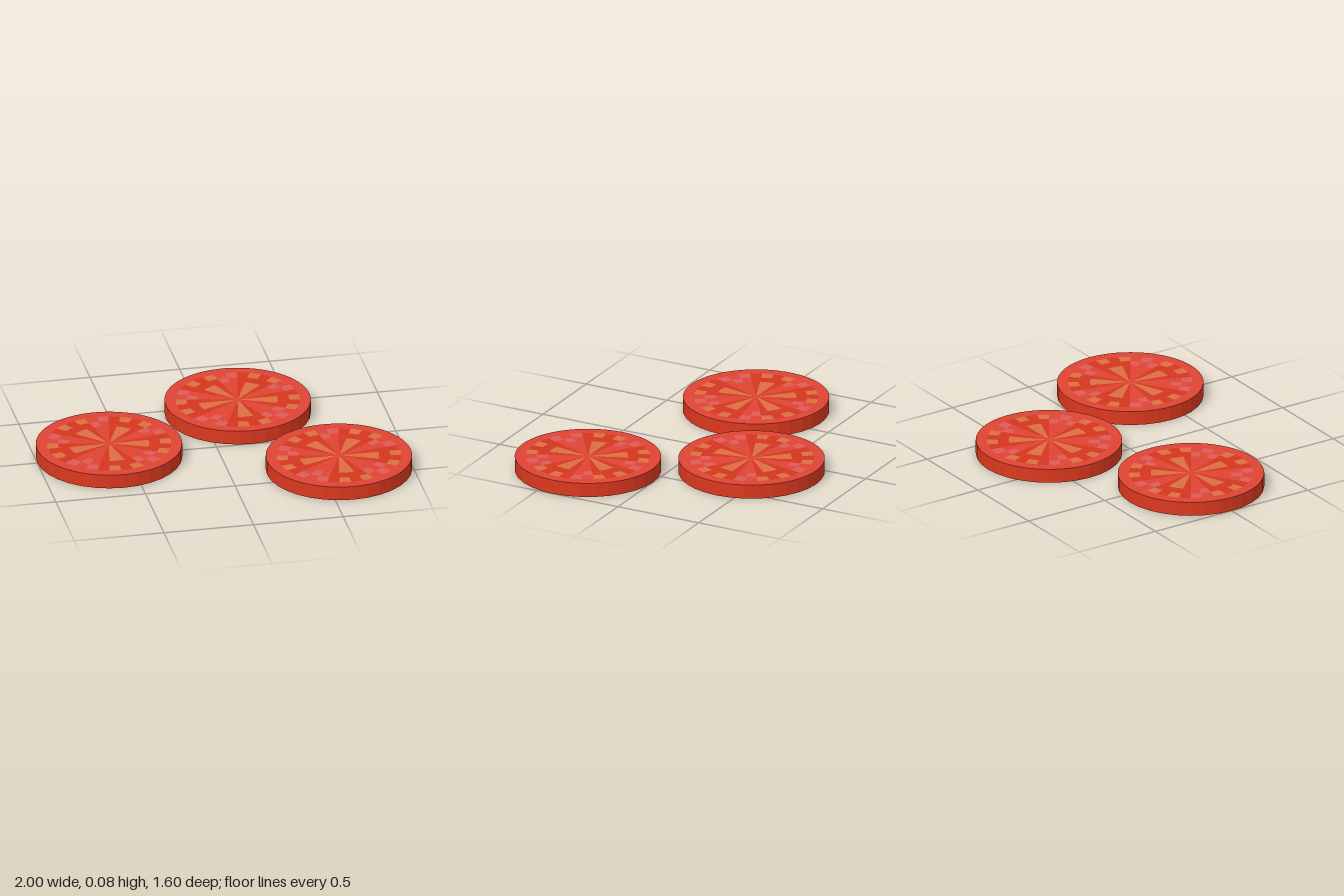
import * as THREE from 'three';
import { mergeGeometries } from 'three/addons/utils/BufferGeometryUtils.js';

const SEGMENTS = 32, RADIUS = 0.4, HEIGHT = 0.08;
const STEP = (Math.PI * 2) / SEGMENTS;
const BANDS = [0, 0.025, 0.22, 0.28, 0.34, RADIUS];
// first segment of each four-segment seed chamber
const CHAMBERS = [3, 9, 15, 22, 29];

const mat = (color) => new THREE.MeshStandardMaterial({ color, flatShading: true });
const materials = {
  skin: mat(0xdc381e),
  flesh: mat(0xde4433),
  gel: mat(0xd4361e),
  seed: mat(0xdc6d43),
  membrane: mat(0xde5a58),
};

// Which part of the cut face a cell (segment, band) belongs to
function cellPart(k, band) {
  if (band === 0 || band === 4) return 'flesh';
  const start = CHAMBERS.find((c) => (k - c + SEGMENTS) % SEGMENTS < 4);
  if (start === undefined) {
    // staggered pale patches on the walls between chambers
    const pale = (band === 3 && k % 2 === 1) || (band === 2 && k % 2 === 0);
    return pale ? 'membrane' : 'flesh';
  }
  const i = (k - start + SEGMENTS) % SEGMENTS;
  if (band === 1 && (i === 1 || i === 2)) return 'seed';
  if (band === 3 && k % 2 === 1) return 'seed';
  return 'gel';
}

// Cut face: one merged geometry per colour
function faceGeometries() {
  const parts = { flesh: [], gel: [], seed: [], membrane: [] };
  for (let k = 0; k < SEGMENTS; k++) {
    for (let b = 0; b < BANDS.length - 1; b++) {
      const g = b === 0
        ? new THREE.CircleGeometry(BANDS[1], 1, k * STEP, STEP)
        : new THREE.RingGeometry(BANDS[b], BANDS[b + 1], 1, 1, k * STEP, STEP);
      parts[cellPart(k, b)].push(g);
    }
  }
  return Object.entries(parts).map(([name, list]) => {
    const g = mergeGeometries(list);
    g.rotateX(-Math.PI / 2).translate(0, HEIGHT, 0);
    return [name, g];
  });
}

export function createModel() {
  const model = new THREE.Group();
  model.name = 'tomatoSlices';

  // Skin wall and underside
  const wall = new THREE.CylinderGeometry(RADIUS, RADIUS, HEIGHT, SEGMENTS, 1, true);
  wall.translate(0, HEIGHT / 2, 0);
  const base = new THREE.CircleGeometry(RADIUS, SEGMENTS);
  base.rotateX(Math.PI / 2);
  const geometries = [['skin', mergeGeometries([wall, base])], ...faceGeometries()];

  // Three identical slices
  for (const [x, z] of [[-0.6, 0], [0.2, -0.4], [0.6, 0.4]]) {
    const slice = new THREE.Group();
    slice.name = 'slice';
    for (const [name, geometry] of geometries) {
      const mesh = new THREE.Mesh(geometry, materials[name]);
      mesh.name = name;
      slice.add(mesh);
    }
    slice.position.set(x, 0, z);
    model.add(slice);
  }
  return model;
}
